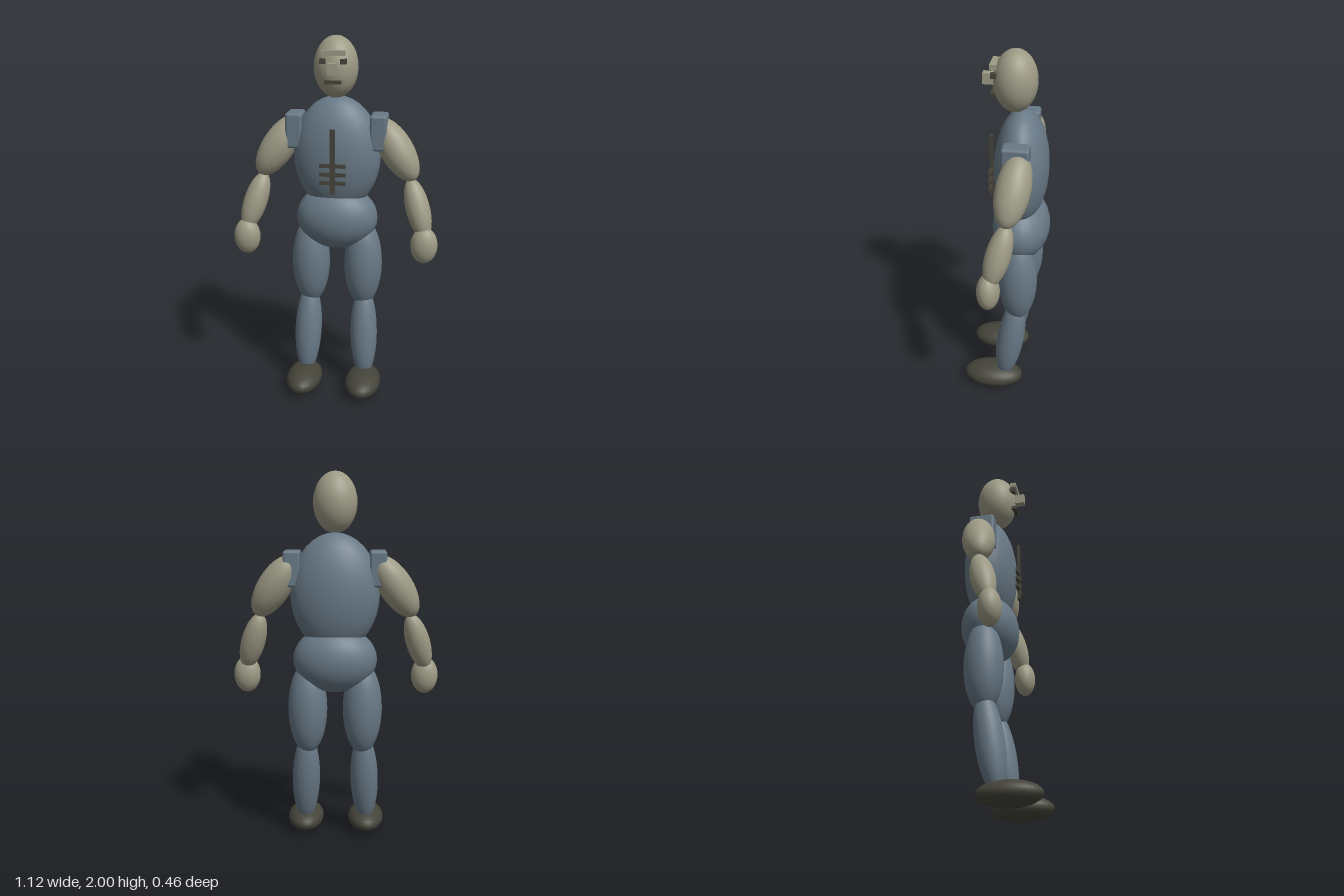
import * as THREE from 'three';
import { RoundedBoxGeometry } from 'three/addons/geometries/RoundedBoxGeometry.js';

export function createModel() {
  const root = new THREE.Group();
  root.name = 'figure';

  const material = (name, color) => {
    const m = new THREE.MeshStandardMaterial({ color });
    m.name = name;
    return m;
  };
  const skin = material('skin', 0x9d9a85);
  const suit = material('suit', 0x687986);
  const dark = material('dark', 0x45443a);

  const sphere = new THREE.SphereGeometry(1, 28, 18);
  const up = new THREE.Vector3(0, 1, 0);

  // Ellipsoid with radii r; its long axis may be turned towards axis
  const blob = (name, mat, p, r, axis) => {
    const m = new THREE.Mesh(sphere, mat);
    m.name = name;
    m.position.set(...p);
    m.scale.set(...r);
    if (axis) m.quaternion.setFromUnitVectors(up, new THREE.Vector3(...axis).normalize());
    root.add(m);
  };
  const box = (name, mat, p, s) => {
    const m = new THREE.Mesh(new THREE.BoxGeometry(...s), mat);
    m.name = name;
    m.position.set(...p);
    root.add(m);
  };

  // Trunk and head
  blob('head', skin, [0, 1.84, -0.037], [0.116, 0.16, 0.112]);
  blob('torso', suit, [0, 1.37, -0.072], [0.237, 0.317, 0.143]);
  blob('pelvis', suit, [0, 1.015, -0.073], [0.225, 0.18, 0.155]);

  // Face
  box('brow', skin, [0, 1.922, 0.067], [0.12, 0.026, 0.035]);
  box('nose', skin, [0, 1.847, 0.093], [0.04, 0.057, 0.066]);
  box('mouth', dark, [0, 1.776, 0.068], [0.084, 0.018, 0.034]);

  // Chest fastening: a long strip with three cross bars
  box('chestStrip', dark, [0, 1.363, 0.088], [0.027, 0.347, 0.015]);
  for (const y of [1.342, 1.295, 1.25]) {
    box('chestBar', dark, [0, y, 0.088], [0.138, 0.019, 0.015]);
  }

  // Mirrored parts
  for (const s of [1, -1]) {
    const side = s > 0 ? 'left' : 'right';
    box(side + 'Eye', dark, [s * 0.053, 1.88, 0.062], [0.031, 0.024, 0.035]);

    const pad = new THREE.Mesh(new RoundedBoxGeometry(0.09, 0.19, 0.14, 2, 0.015), suit);
    pad.name = side + 'ShoulderPad';
    pad.position.set(s * 0.226, 1.5, -0.07);
    root.add(pad);

    blob(side + 'UpperArm', skin, [s * 0.32, 1.405, -0.07], [0.09, 0.19, 0.089], [-s * 0.545, 0.84, -0.14]);
    blob(side + 'Forearm', skin, [s * 0.446, 1.1, -0.015], [0.065, 0.167, 0.065], [-s * 0.295, 0.95, -0.24]);
    blob(side + 'Hand', skin, [s * 0.488, 0.908, 0.03], [0.073, 0.101, 0.06]);

    blob(side + 'Thigh', suit, [s * 0.148, 0.745, -0.075], [0.106, 0.255, 0.105]);
    blob(side + 'Shin', suit, [s * 0.161, 0.335, -0.037], [0.076, 0.27, 0.076], [-s * 0.03, 1, -0.146]);
    blob(side + 'Foot', dark, [s * 0.17, 0.068, 0.062], [0.1, 0.067, 0.168]);
  }
  return root;
}
